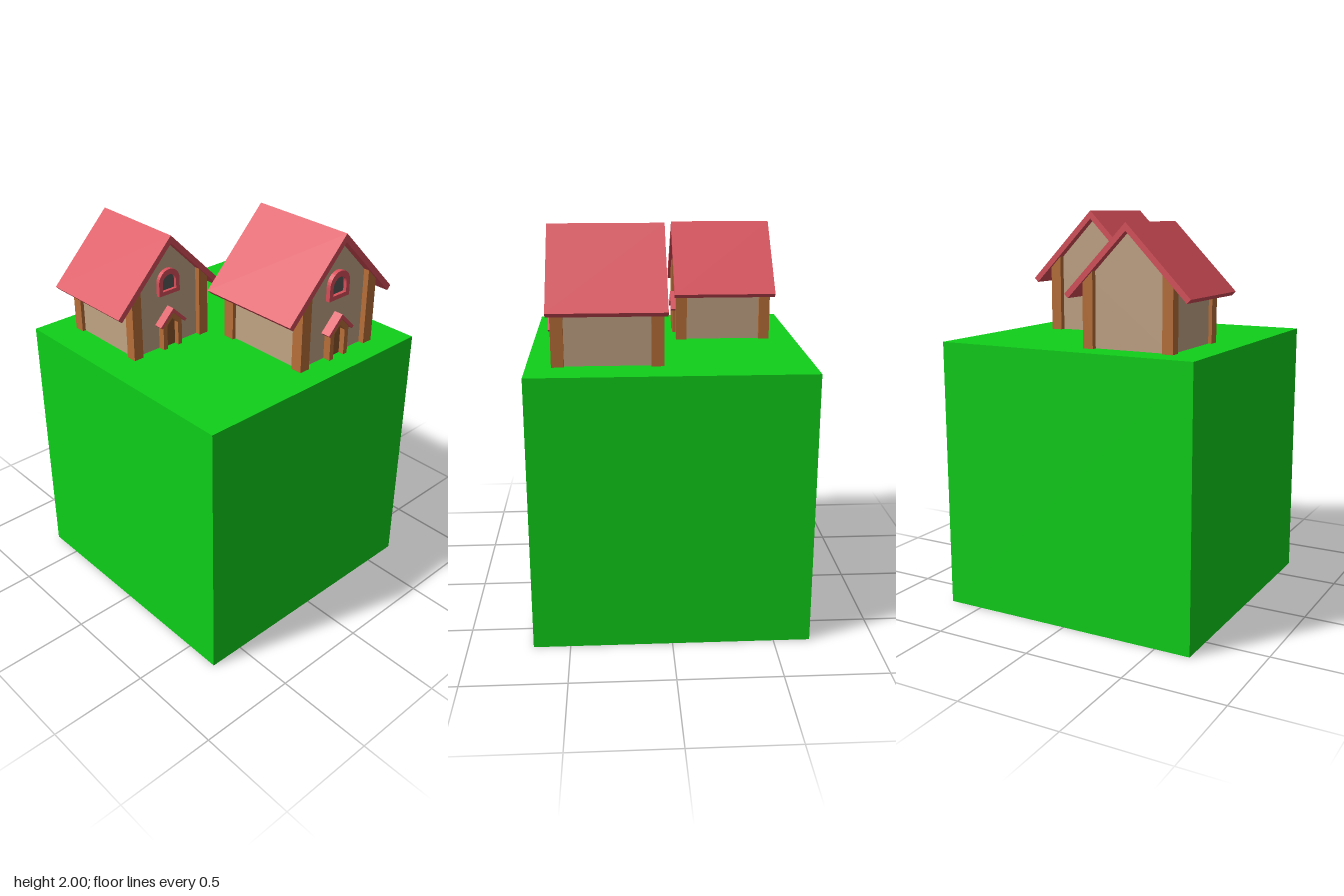
import * as THREE from 'three';

const paint = (color) => new THREE.MeshStandardMaterial({ color, flatShading: true });
const grass = paint(0x0fd01a), red = paint(0xd94f5a), plaster = paint(0xc2a585);
const wood = paint(0xb86f38), darkWood = paint(0x8a5428), glass = paint(0x58585a);

const polygon = (points) => new THREE.Shape(points.map(([x, y]) => new THREE.Vector2(x, y)));

// Extrudes a front outline between two z positions
function slab(name, shape, z0, z1, material) {
  const geometry = new THREE.ExtrudeGeometry(shape, { depth: z1 - z0, bevelEnabled: false, curveSegments: 8 });
  geometry.translate(0, 0, z0);
  const mesh = new THREE.Mesh(geometry, material);
  mesh.name = name;
  return mesh;
}

// House outline: straight sides with a pointed top
const gable = (w, shoulder, apex, base = 0) =>
  polygon([[-w, base], [w, base], [w, shoulder], [0, apex], [-w, shoulder]]);

// Two roof slopes meeting at the ridge, with square-cut eaves
const chevron = (w, apex, eave, cut, drop) => polygon([
  [0, apex], [-w, eave], [-w + cut, eave - cut], [0, apex - drop], [w - cut, eave - cut], [w, eave],
]);

// Straight sides with a round top
function arch(w, base, spring) {
  const shape = new THREE.Shape();
  shape.moveTo(-w, base);
  shape.lineTo(w, base);
  shape.lineTo(w, spring);
  shape.absarc(0, spring, w, 0, Math.PI, false);
  shape.closePath();
  return shape;
}

function createHouse(name) {
  const house = new THREE.Group();
  house.name = name;

  house.add(slab('walls', gable(0.235, 0.365, 0.605), -0.235, 0.235, plaster));
  house.add(slab('roof', chevron(0.355, 0.637, 0.275, 0.021, 0.042), -0.28, 0.28, red));

  // Corner posts, tops cut to the roof slope
  for (const side of [-1, 1]) {
    for (const end of [-1, 1]) {
      const outer = side * 0.255, inner = side * 0.197;
      const outline = polygon([[outer, 0], [inner, 0], [inner, 0.4], [outer, 0.34]]);
      const z = end * 0.235;
      house.add(slab('cornerPost', outline, z - 0.03, z + 0.03, wood));
    }
  }

  // Arched window
  const frame = arch(0.069, 0.306, 0.378);
  frame.holes.push(arch(0.045, 0.328, 0.372));
  house.add(slab('windowFrame', frame, 0.22, 0.258, red));
  house.add(slab('windowPane', arch(0.05, 0.322, 0.374), 0.22, 0.24, glass));

  // Doorway with its own small roof
  const doorway = polygon([
    [-0.063, 0], [-0.037, 0], [-0.037, 0.135], [0, 0.172], [0.037, 0.135],
    [0.037, 0], [0.063, 0], [0.063, 0.152], [0, 0.212], [-0.063, 0.152],
  ]);
  house.add(slab('doorFrame', doorway, 0.22, 0.274, wood));
  house.add(slab('door', gable(0.04, 0.138, 0.175), 0.22, 0.245, darkWood));
  house.add(slab('porchRoof', chevron(0.088, 0.232, 0.144, 0.011, 0.022), 0.22, 0.285, red));
  return house;
}

export function createModel() {
  const model = new THREE.Group();
  model.name = 'housesOnBlock';
  const groundY = 1.363;

  const block = new THREE.Mesh(new THREE.BoxGeometry(1.36, groundY, 1.36), grass);
  block.name = 'grassBlock';
  block.position.y = groundY / 2;
  model.add(block);

  const large = createHouse('largeHouse');
  large.position.set(0.242, groundY, 0.295);
  model.add(large);

  const small = createHouse('smallHouse');
  small.scale.setScalar(0.92);
  small.position.set(-0.283, groundY, -0.305);
  model.add(small);
  return model;
}
